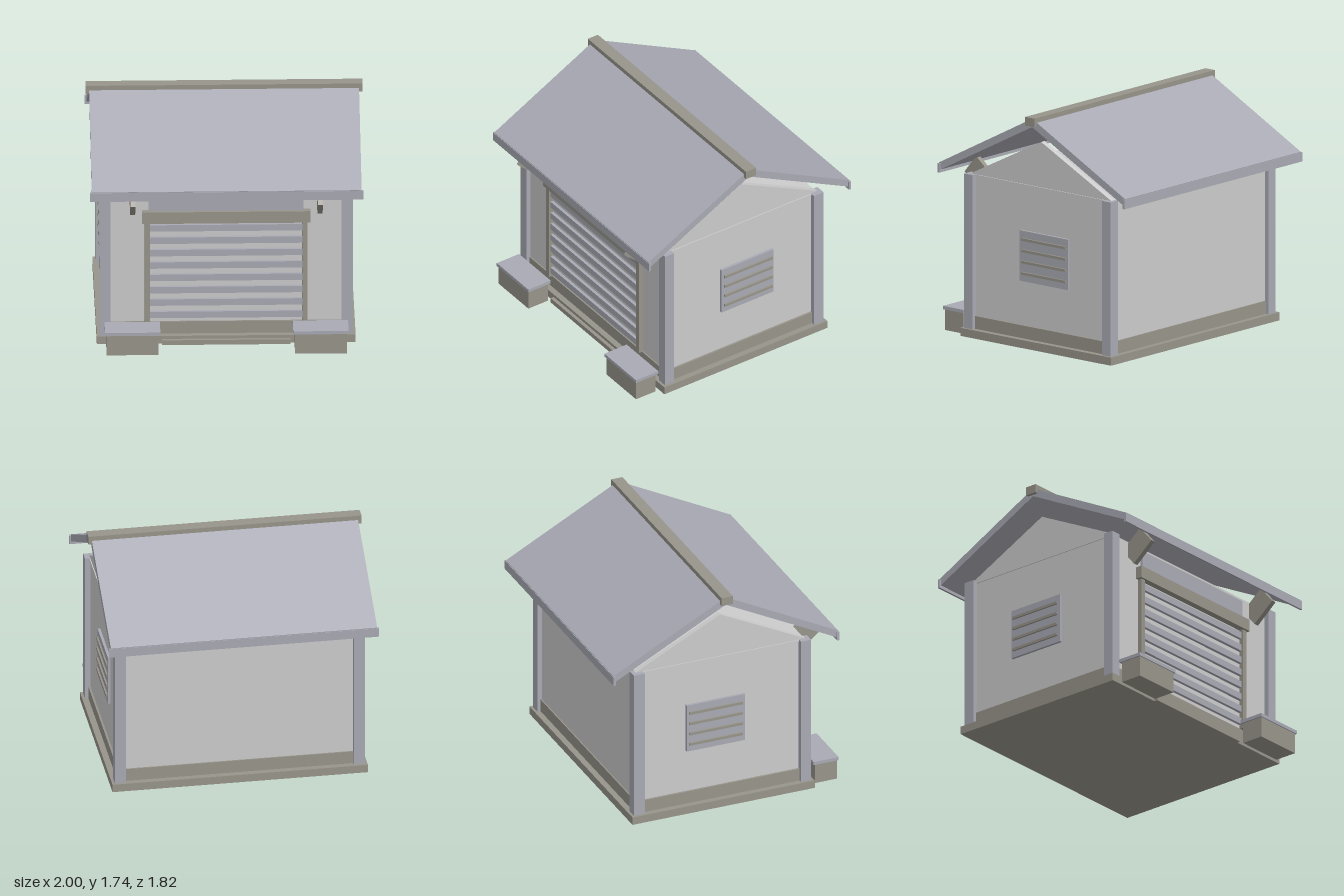
import * as THREE from 'three';

export function createModel() {
  const group = new THREE.Group();
  const mat = (color) => new THREE.MeshStandardMaterial({ color, flatShading: true });
  const wallMat = mat(0xcccccc);
  const trimMat = mat(0xa9a9b4);
  const brownMat = mat(0x97948a);
  const CZ = -0.018; // ridge line of the building

  const add = (name, geometry, material) => {
    const mesh = new THREE.Mesh(geometry, material);
    mesh.name = name;
    group.add(mesh);
    return mesh;
  };
  // Box given by its extents
  const box = (name, material, x0, x1, y0, y1, z0, z1) => {
    const mesh = add(name, new THREE.BoxGeometry(x1 - x0, y1 - y0, z1 - z0), material);
    mesh.position.set((x0 + x1) / 2, (y0 + y1) / 2, (z0 + z1) / 2);
    return mesh;
  };
  // Same box on both sides of x = 0
  const pair = (name, material, x0, x1, ...rest) => {
    box(name, material, x0, x1, ...rest);
    box(name, material, -x1, -x0, ...rest);
  };
  // Profile of [z, y] points extruded along x from x0 to x1
  const alongX = (name, material, points, x0, x1) => {
    const shape = new THREE.Shape(points.map(([z, y]) => new THREE.Vector2(-z, y)));
    const geo = new THREE.ExtrudeGeometry(shape, { depth: x1 - x0, bevelEnabled: false });
    geo.rotateY(Math.PI / 2).translate(x0, 0, 0);
    return add(name, geo, material);
  };

  // Base, plinth and walls
  box('baseSlab', brownMat, -0.935, 0.935, 0, 0.06, -0.735, 0.7);
  box('plinth', brownMat, -0.89, 0.89, 0.06, 0.155, -0.69, 0.655);
  box('walls', wallMat, -0.875, 0.875, 0.155, 1.19, -0.68, 0.645);
  box('wallPlate', wallMat, -0.882, 0.882, 1.19, 1.203, -0.68, 0.645);

  // Corner posts
  pair('frontPost', trimMat, 0.835, 0.915, 0.06, 1.205, 0.6, 0.68);
  pair('backPost', trimMat, 0.835, 0.915, 0.06, 1.205, -0.715, -0.63);

  // Gable triangles
  const gable = [[0.66, 1.2], [CZ, 1.54], [-0.696, 1.2]];
  alongX('gable', wallMat, gable, 0.835, 0.875);
  alongX('gable', wallMat, gable, -0.875, -0.835);

  // Roof slopes, fascia boards and ridge cap
  for (const s of [1, -1]) {
    const p = (d, y) => [CZ + s * d, y];
    alongX('roofSlope', trimMat, [p(0, 1.668), p(0.875, 1.217), p(0.885, 1.27), p(0, 1.73)], -0.975, 0.975);
    const z = CZ + s * 0.88;
    box('fascia', trimMat, -0.988, 0.988, 1.197, 1.265, z - 0.009, z + 0.009);
  }
  box('ridgeCap', brownMat, -1, 1, 1.678, 1.742, CZ - 0.044, CZ + 0.044);

  // Roller door with frame and panel above
  pair('doorJamb', brownMat, 0.55, 0.588, 0.155, 0.94, 0.64, 0.68);
  box('doorLintel', brownMat, -0.608, 0.608, 0.942, 1.032, 0.64, 0.695);
  box('doorHeaderPanel', trimMat, -0.56, 0.56, 1.032, 1.172, 0.64, 0.668);
  for (let i = 0; i < 8; i++) {
    const y = 0.187 + i * 0.0975;
    box('doorSlat', trimMat, -0.55, 0.55, y, y + 0.05, 0.64, 0.668);
  }

  // Tilted eave brackets
  for (const s of [1, -1]) {
    const bracket = add('eaveBracket', new THREE.BoxGeometry(0.038, 0.17, 0.215), brownMat);
    bracket.position.set(s * 0.677, 1.15, 0.727);
    bracket.rotation.x = -0.69;
  }

  // Louvred side vents
  pair('ventPanel', trimMat, 0.87, 0.895, 0.485, 0.86, -0.29, 0.17);
  for (let i = 0; i < 4; i++) {
    const y = 0.535 + i * 0.084;
    pair('ventLouvre', brownMat, 0.89, 0.908, y, y + 0.02, -0.273, 0.147);
  }

  // Front step and capped pedestals
  box('frontStep', brownMat, -0.465, 0.465, 0, 0.037, 0.69, 0.727);
  pair('pedestal', brownMat, 0.493, 0.868, 0, 0.155, 0.73, 0.903);
  pair('pedestalCap', trimMat, 0.48, 0.88, 0.155, 0.18, 0.715, 0.912);

  return group;
}
